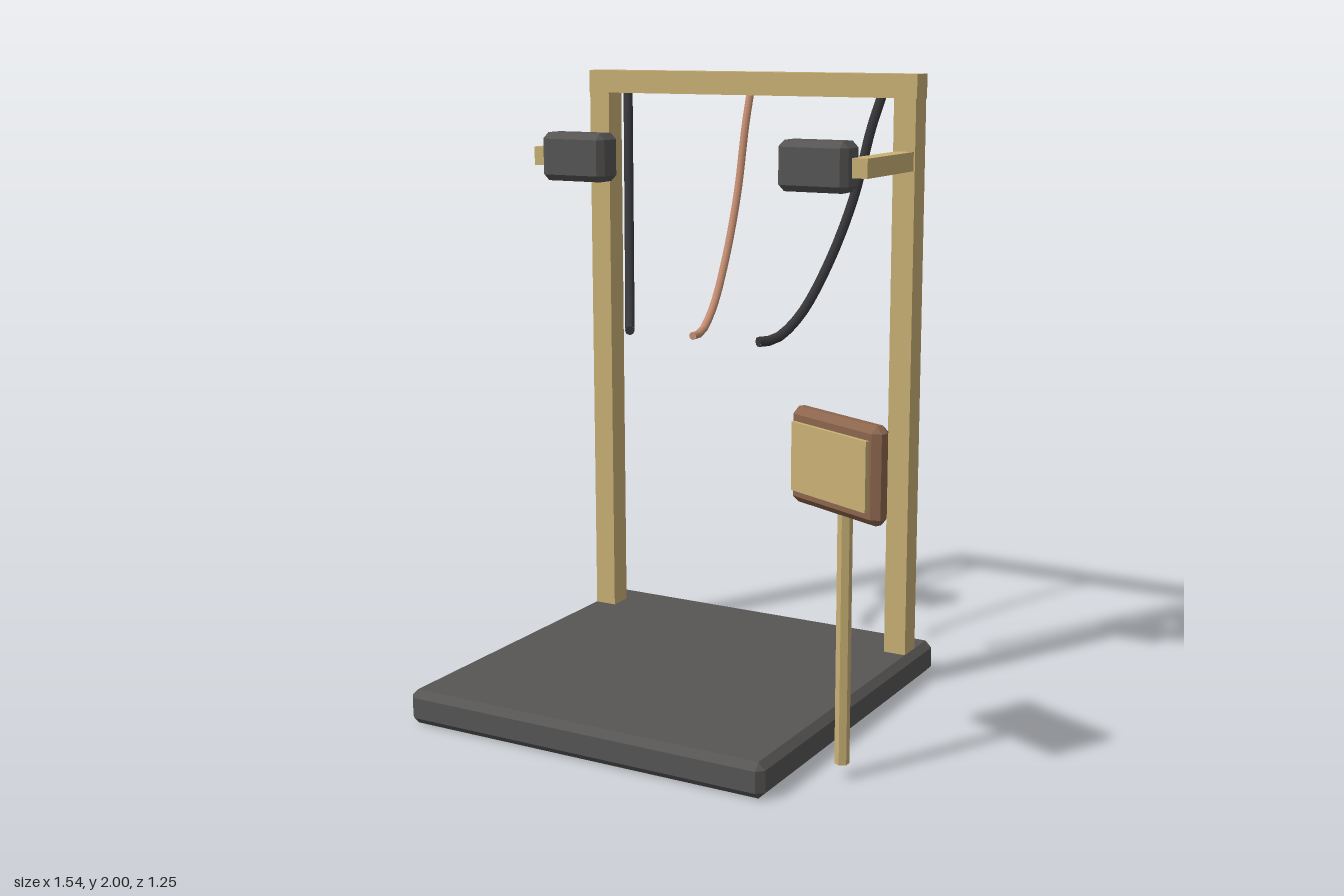
import * as THREE from 'three';
import { ConvexGeometry } from 'three/addons/geometries/ConvexGeometry.js';

const material = (name, color, flatShading = false) => {
  const m = new THREE.MeshStandardMaterial({ color, flatShading });
  m.name = name;
  return m;
};

// Box with chamfered edges and corners
function chamferBox(w, h, d, c) {
  const points = [];
  for (const x of [-w / 2, w / 2]) for (const y of [-h / 2, h / 2]) for (const z of [-d / 2, d / 2]) {
    const cx = c * Math.sign(x), cy = c * Math.sign(y), cz = c * Math.sign(z);
    points.push(
      new THREE.Vector3(x, y - cy, z - cz),
      new THREE.Vector3(x - cx, y, z - cz),
      new THREE.Vector3(x - cx, y - cy, z));
  }
  return new ConvexGeometry(points);
}

export function createModel() {
  const wood = material('wood', 0xc9b075, true);
  const grey = material('dark grey', 0x575655, true);
  const black = material('black rubber', 0x37373a);
  const copper = material('copper', 0xc68f72);
  const brown = material('brown', 0x8b654c, true);

  const model = new THREE.Group();
  model.name = 'hangingFrame';
  const add = (parent, name, geometry, mat, x = 0, y = 0, z = 0) => {
    const mesh = new THREE.Mesh(geometry, mat);
    mesh.name = name;
    mesh.position.set(x, y, z);
    parent.add(mesh);
    return mesh;
  };

  // Platform and frame, centred on their own axis
  const stand = new THREE.Group();
  stand.name = 'stand';
  stand.position.x = -0.15;
  model.add(stand);
  add(stand, 'platform', chamferBox(1.25, 0.11, 1.25, 0.022), grey, 0, 0.055, 0);
  add(stand, 'crossbeam', new THREE.BoxGeometry(1.21, 0.075, 0.08), wood, 0, 1.9625, -0.47);

  // Cable sag: [fraction of forward reach, height]
  const sag = [[0, 1.95], [0.1, 1.83], [0.24, 1.61], [0.45, 1.4], [0.67, 1.25], [0.86, 1.185], [1, 1.18]];
  const cable = (startX, endX, radius) => new THREE.TubeGeometry(
    new THREE.CatmullRomCurve3(sag.map(([u, y]) =>
      new THREE.Vector3(startX + (endX - startX) * u, y, -0.47 + 0.39 * u))),
    24, radius, 8);
  // Discs closing the free cable ends
  const cableEnd = (name, x, radius, mat, angle) => {
    const disc = add(stand, name, new THREE.CircleGeometry(radius, 8), mat, x, 1.18, -0.08);
    disc.rotation.y = angle;
  };

  for (const [side, s] of [['left', 1], ['right', -1]]) {
    add(stand, side + 'Post', new THREE.BoxGeometry(0.075, 1.82, 0.08), wood, s * 0.565, 1.015, -0.47);
    add(stand, side + 'Arm', new THREE.BoxGeometry(0.06, 0.06, 0.36), wood, s * 0.568, 1.73, -0.265);
    add(stand, side + 'Pad', chamferBox(0.235, 0.155, 0.108, 0.02), grey, s * 0.429, 1.732, -0.096);
    add(stand, side + 'Cable', cable(s * 0.475, s * 0.235, 0.016), black);
    cableEnd(side + 'CableEnd', s * 0.235, 0.016, black, -s * 0.55);
  }
  add(stand, 'middleCable', cable(0, 0, 0.013), copper);
  cableEnd('middleCableEnd', 0, 0.013, copper, 0);

  // Sign on a hexagonal pole, turned towards the platform
  add(model, 'signPole', new THREE.CylinderGeometry(0.022, 0.022, 0.86, 6), wood, 0.595, 0.475, 0.353);
  const sign = new THREE.Group();
  sign.name = 'sign';
  sign.position.set(0.593, 0.945, 0.393);
  sign.rotation.y = -25 * Math.PI / 180;
  model.add(sign);
  add(sign, 'signBoard', chamferBox(0.38, 0.28, 0.06, 0.02), brown);
  add(sign, 'signFace', new THREE.BoxGeometry(0.325, 0.2, 0.024), wood, 0, 0, 0.031);

  return model;
}
